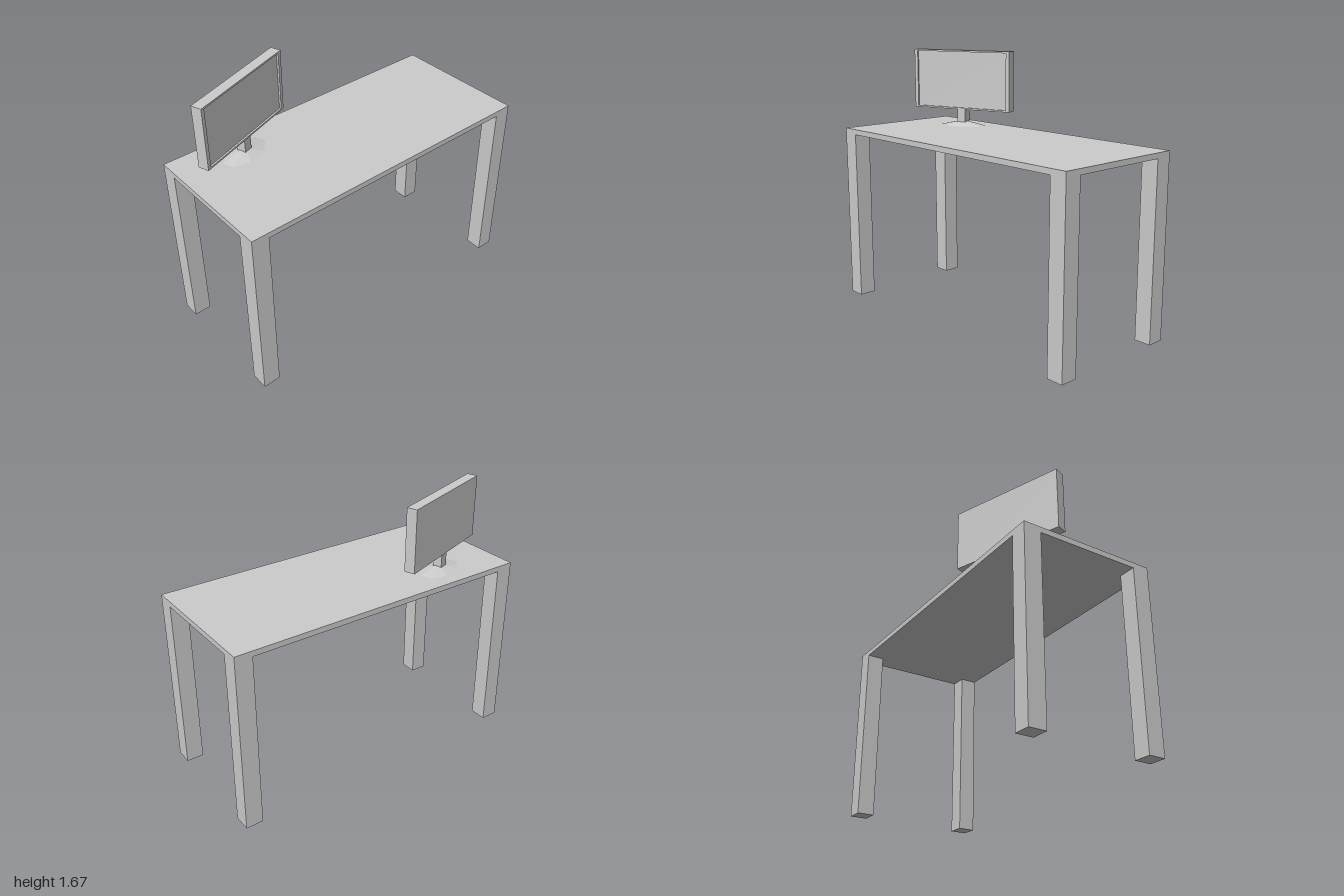
import * as THREE from 'three';

const material = new THREE.MeshStandardMaterial({ color: 0xcccccc, flatShading: true });

function addMesh(parent, name, geometry, x, y, z) {
  const mesh = new THREE.Mesh(geometry, material);
  mesh.name = name;
  mesh.position.set(x, y, z);
  parent.add(mesh);
  return mesh;
}

function rectangle(PathType, w, h) {
  const p = new PathType();
  p.moveTo(-w / 2, -h / 2);
  p.lineTo(w / 2, -h / 2);
  p.lineTo(w / 2, h / 2);
  p.lineTo(-w / 2, h / 2);
  p.closePath();
  return p;
}

function createDesk() {
  const desk = new THREE.Group();
  desk.name = 'desk';
  const depth = 0.876, height = 1.16, thickness = 0.035, leg = 0.11;
  const legHeight = height - thickness;

  addMesh(desk, 'tabletop', new THREE.BoxGeometry(2, thickness, depth), 0, height - thickness / 2, 0);

  // Square legs flush with the corners
  for (const sx of [-1, 1]) {
    for (const sz of [-1, 1]) {
      const name = (sz > 0 ? 'front' : 'back') + (sx > 0 ? 'Left' : 'Right') + 'Leg';
      addMesh(desk, name, new THREE.BoxGeometry(leg, legHeight, leg),
        sx * (1 - leg / 2), legHeight / 2, sz * (depth - leg) / 2);
    }
  }
  return desk;
}

function createMonitor() {
  const monitor = new THREE.Group();
  monitor.name = 'monitor';
  const width = 0.737, height = 0.4, depth = 0.068, recess = 0.012;
  const centreY = 0.31;

  // Flared eight-sided foot, stretched into an oval
  const foot = new THREE.CylinderGeometry(0.22, 1, 0.027, 8);
  foot.rotateY(Math.PI / 8);
  foot.scale(0.17, 1, 0.1);
  addMesh(monitor, 'foot', foot, 0, 0.0135, 0);

  addMesh(monitor, 'neck', new THREE.BoxGeometry(0.059, 0.095, 0.059), 0, 0.0675, 0);

  // Solid casing whose front face is the recessed screen
  addMesh(monitor, 'casing', new THREE.BoxGeometry(width, height, depth - recess), 0, centreY, -recess / 2);

  // Raised bezel around the screen
  const frame = rectangle(THREE.Shape, width, height);
  frame.holes.push(rectangle(THREE.Path, 0.688, 0.378));
  const bezel = new THREE.ExtrudeGeometry(frame, { depth: recess, bevelEnabled: false });
  addMesh(monitor, 'bezel', bezel, 0, centreY, depth / 2 - recess);

  monitor.position.set(-0.571, 1.16, -0.238);
  monitor.rotation.y = 0.336;
  return monitor;
}

export function createModel() {
  const model = new THREE.Group();
  model.name = 'deskWithMonitor';
  model.add(createDesk(), createMonitor());
  return model;
}
